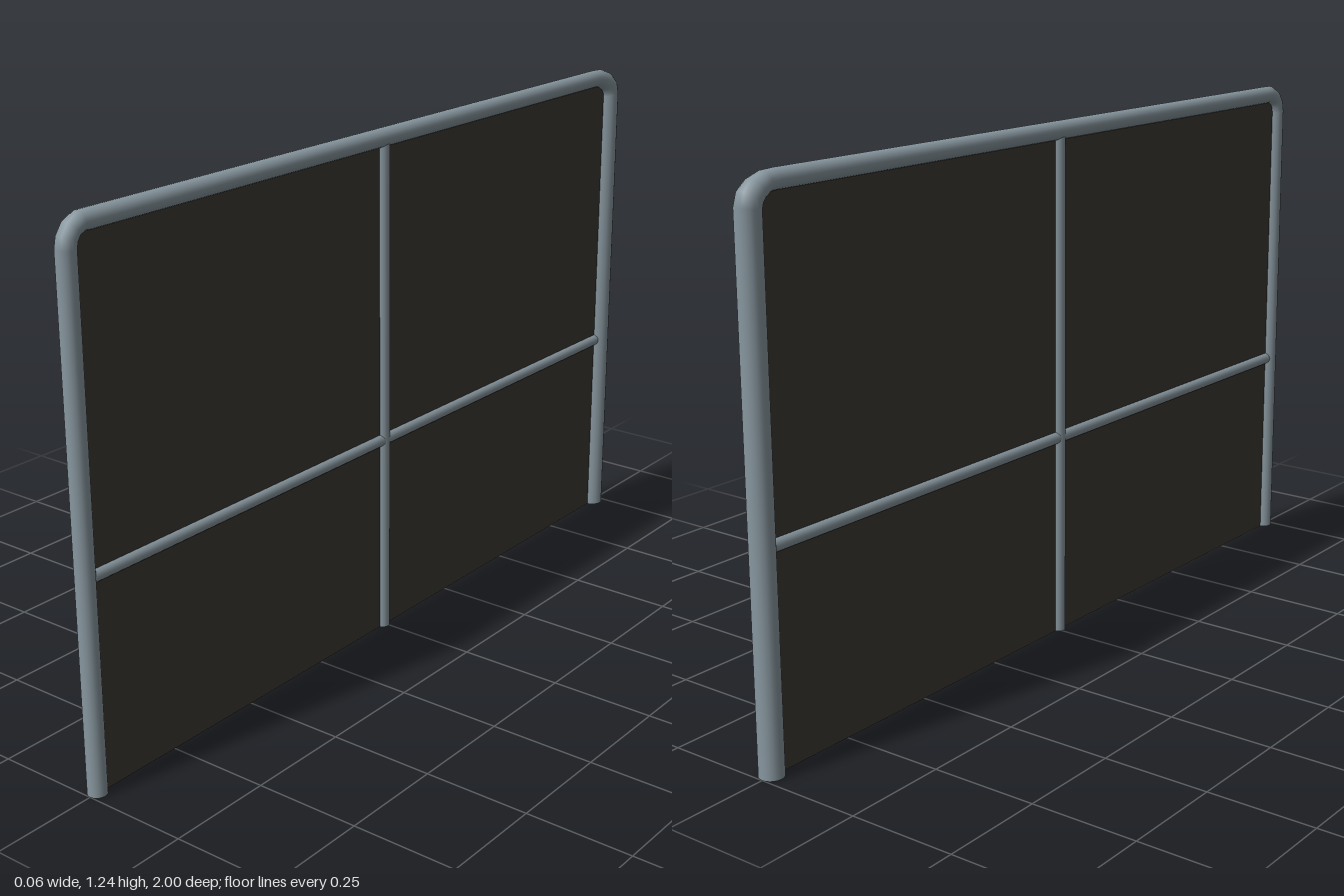
import * as THREE from 'three';

const SIDES = 20;

// Tube in the x = 0 plane; each station is [z, y, radius], open at both ends
function sweepTube(stations) {
  const positions = [], indices = [];
  stations.forEach(([z, y, r], i) => {
    const prev = stations[Math.max(i - 1, 0)];
    const next = stations[Math.min(i + 1, stations.length - 1)];
    const into = new THREE.Vector2(z - prev[0], y - prev[1]).normalize();
    const out = new THREE.Vector2(next[0] - z, next[1] - y).normalize();
    const t = into.add(out).normalize();
    for (let j = 0; j < SIDES; j++) {
      const a = (j / SIDES) * Math.PI * 2;
      const n = Math.cos(a) * r;
      positions.push(Math.sin(a) * r, y - n * t.x, z + n * t.y);
      if (i === stations.length - 1) continue;
      const k = (j + 1) % SIDES, base = i * SIDES, up = base + SIDES;
      indices.push(base + j, base + k, up + j, base + k, up + k, up + j);
    }
  });
  const geometry = new THREE.BufferGeometry();
  geometry.setAttribute('position', new THREE.Float32BufferAttribute(positions, 3));
  geometry.setIndex(indices);
  geometry.computeVertexNormals();
  return geometry;
}

export function createModel() {
  const model = new THREE.Group();
  const metal = new THREE.MeshStandardMaterial({ color: 0x87969e, side: THREE.DoubleSide });
  metal.name = 'grey metal';
  const dark = new THREE.MeshStandardMaterial({ color: 0x3b3931 });
  dark.name = 'dark panel';

  const add = (name, geometry, material) => {
    const mesh = new THREE.Mesh(geometry, material);
    mesh.name = name;
    model.add(mesh);
    return mesh;
  };

  // Bent outer frame: front post, top rail, thicker back post
  add('outerFrame', sweepTube([
    [0.978, 0, 0.022], [0.978, 1.17, 0.022], [0.974, 1.19, 0.022],
    [0.962, 1.207, 0.022], [0.94, 1.218, 0.022], [0.92, 1.218, 0.022],
    [-0.9, 1.218, 0.022], [-0.925, 1.216, 0.023], [-0.95, 1.205, 0.026],
    [-0.966, 1.19, 0.028], [-0.972, 1.17, 0.028], [-0.972, 0, 0.028],
  ]), metal);

  // Inner crossing bars
  const upright = new THREE.CylinderGeometry(0.017, 0.017, 1.21, SIDES, 1, true);
  add('centrePost', upright, metal).position.set(0, 0.605, 0.005);
  const rail = new THREE.CylinderGeometry(0.0155, 0.0155, 1.92, SIDES).rotateX(Math.PI / 2);
  add('middleRail', rail, metal).position.set(0, 0.49, 0.005);

  // Infill panel
  add('panel', new THREE.BoxGeometry(0.008, 1.215, 1.935), dark).position.set(0, 0.6075, 0.005);

  return model;
}
